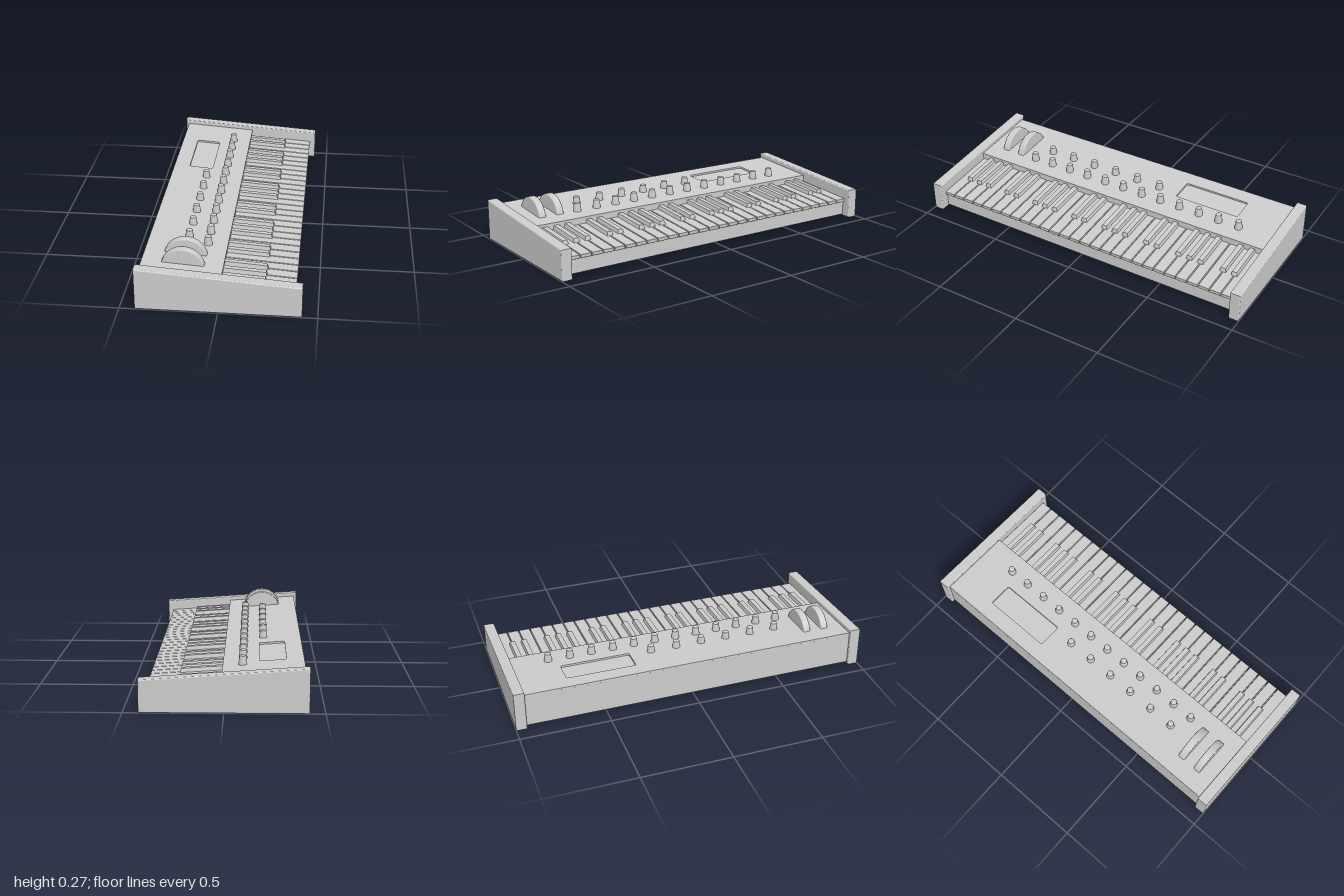
import * as THREE from 'three';
import { RoundedBoxGeometry } from 'three/addons/geometries/RoundedBoxGeometry.js';

const material = new THREE.MeshStandardMaterial({ color: 0xcccccc });
const SLOPE = 0.072; // fall of the panel and keys towards the player (+x)
const HALF = 0.94; // half the length between the end cheeks

function add(parent, name, geometry, x = 0, y = 0, z = 0) {
  const mesh = new THREE.Mesh(geometry, material);
  mesh.name = name;
  mesh.position.set(x, y, z);
  parent.add(mesh);
  return mesh;
}

function polygon(points) {
  return new THREE.Shape(points.map(([x, y]) => new THREE.Vector2(x, y)));
}

function roundedRect(path, x0, y0, x1, y1, r) {
  path.moveTo(x0 + r, y0);
  path.lineTo(x1 - r, y0).quadraticCurveTo(x1, y0, x1, y0 + r);
  path.lineTo(x1, y1 - r).quadraticCurveTo(x1, y1, x1 - r, y1);
  path.lineTo(x0 + r, y1).quadraticCurveTo(x0, y1, x0, y1 - r);
  path.lineTo(x0, y0 + r).quadraticCurveTo(x0, y0, x0 + r, y0);
  return path;
}

// Box whose top is narrower and whose front leans back
function blackKeyGeometry(length, height, width) {
  const geometry = new THREE.BoxGeometry(length, height, width).toNonIndexed();
  const p = geometry.attributes.position;
  for (let i = 0; i < p.count; i++) {
    if (p.getY(i) < 0) continue;
    p.setZ(i, p.getZ(i) * 0.72);
    if (p.getX(i) > 0) p.setX(i, p.getX(i) - 0.008);
  }
  geometry.computeVertexNormals();
  return geometry;
}

export function createModel() {
  const model = new THREE.Group();
  model.name = 'keyboardSynthesizer';

  // Case: one cross-section run along the whole length
  const caseShape = polygon([
    [-0.405, 0.01], [0.372, 0.01], [0.372, 0.087], [0.01, 0.113], [0.01, 0.163], [-0.405, 0.193],
  ]);
  add(model, 'case', new THREE.ExtrudeGeometry(caseShape, { depth: 2 * HALF, bevelEnabled: false }), 0, 0, -HALF);

  // Sloping control panel with an opening for the recessed display
  const panelShape = polygon([[-0.416, -HALF], [0.002, -HALF], [0.002, HALF], [-0.416, HALF]]);
  panelShape.holes.push(roundedRect(new THREE.Path(), -0.325, 0.3, -0.186, 0.69, 0.014));
  const panelGeometry = new THREE.ExtrudeGeometry(panelShape, { depth: 0.011, bevelEnabled: false, curveSegments: 6 });
  panelGeometry.rotateX(-Math.PI / 2);
  const panel = add(model, 'controlPanel', panelGeometry, 0.01, 0.1625, 0);
  panel.rotation.z = -SLOPE;

  // End cheeks with softened edges
  const b = 0.006;
  const cheekShape = polygon([
    [-0.422 + b, b], [0.422 - b, b], [0.422 - b, 0.167 - b], [-0.422 + b, 0.227 - b],
  ]);
  const cheekGeometry = new THREE.ExtrudeGeometry(cheekShape, {
    depth: 0.06 - 2 * b, bevelThickness: b, bevelSize: b, bevelSegments: 3,
  });
  add(model, 'leftCheek', cheekGeometry, 0, 0, -1 + b);
  add(model, 'rightCheek', cheekGeometry, 0, 0, HALF + b);

  // Keys, laid out in a group tilted like the panel
  const keys = new THREE.Group();
  keys.name = 'keys';
  keys.position.set(0.01, 0.137, 0);
  keys.rotation.z = -SLOPE;
  model.add(keys);
  const count = 28;
  const pitch = (2 * HALF) / count;
  const whiteGeometry = new RoundedBoxGeometry(0.381, 0.02, pitch - 0.005, 2, 0.003);
  const blackGeometry = blackKeyGeometry(0.226, 0.024, 0.038);
  for (let i = 0; i < count; i++) {
    add(keys, 'whiteKey', whiteGeometry, 0.1895, -0.01, -HALF + (i + 0.5) * pitch);
    if (i % 7 !== 0 && i % 7 !== 3) {
      add(keys, 'blackKey', blackGeometry, 0.113, 0.009, -HALF + i * pitch);
    }
  }

  // Control knobs: a row of twelve and a shorter row behind it
  const knobGeometry = new THREE.LatheGeometry([
    [0.022, 0], [0.022, 0.012], [0.0175, 0.052], [0.0155, 0.055], [0, 0.055],
  ].map(([r, y]) => new THREE.Vector2(r, y)), 24);
  for (let i = 0; i < 12; i++) add(model, 'frontKnob', knobGeometry, -0.09, 0.173, -0.738 + i * 0.1233);
  for (let i = 0; i < 6; i++) add(model, 'rearKnob', knobGeometry, -0.197, 0.175, -0.178 + i * 0.148);

  // Two performance wheels, half sunk into the panel
  const wheelProfile = [
    [0, -0.021], [0.107, -0.021], [0.112, -0.0195], [0.114, -0.015],
    [0.114, 0.015], [0.112, 0.0195], [0.107, 0.021], [0, 0.021],
  ].map(([r, y]) => new THREE.Vector2(r, y));
  const wheelGeometry = new THREE.LatheGeometry(wheelProfile, 64);
  wheelGeometry.rotateX(Math.PI / 2);
  for (const z of [0.726, 0.834]) add(model, 'wheel', wheelGeometry, -0.195, 0.158, z);

  return model;
}
